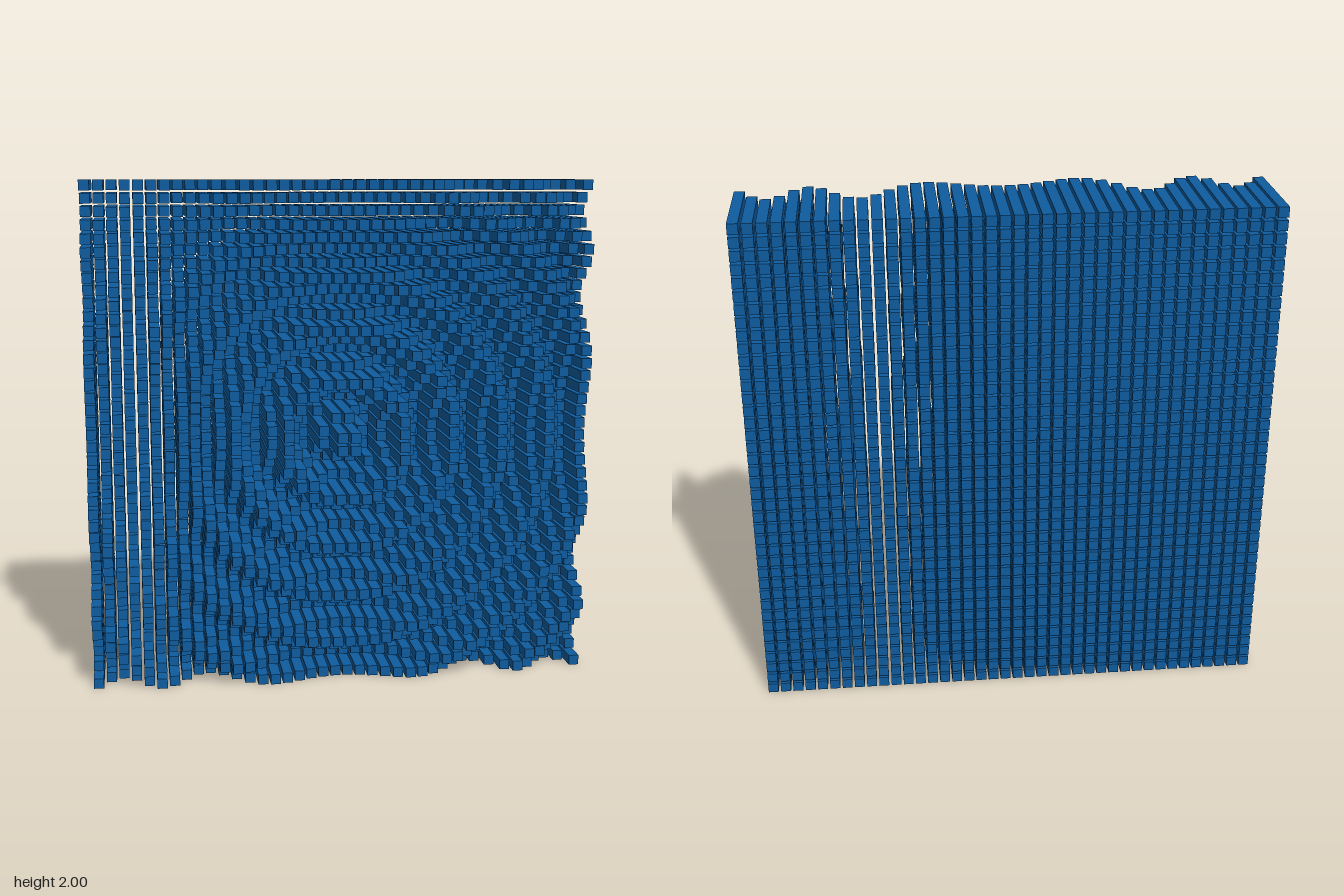
import * as THREE from 'three';
import { mergeGeometries } from 'three/addons/utils/BufferGeometryUtils.js';

const COUNT = 40;                    // bars along each side
const PITCH = 2 / (COUNT - 0.2);     // spacing of bar centres
const WIDTH = PITCH * 0.8;           // bar thickness
const BACK = -0.295;                 // common rear plane

// Front end of a bar: a ripple that fades away from the centre
function rippleFront(x, y) {
  const r = Math.hypot(x, y);
  return 0.047 + 0.25 * Math.exp(-r) * Math.cos((2 * Math.PI * (r - 0.04)) / 0.1965);
}

export function createModel() {
  const model = new THREE.Group();
  model.name = 'rippleWall';
  const material = new THREE.MeshStandardMaterial({ color: 0x0f5c9f });
  const offset = (i) => (i - (COUNT - 1) / 2) * PITCH;

  // One mesh per horizontal row of square bars
  for (let j = 0; j < COUNT; j++) {
    const y = offset(j);
    const bars = [];
    for (let i = 0; i < COUNT; i++) {
      const x = offset(i);
      const front = rippleFront(x, y);
      const bar = new THREE.BoxGeometry(WIDTH, WIDTH, front - BACK);
      bar.translate(x, y + 1, (front + BACK) / 2);
      bars.push(bar);
    }
    const row = new THREE.Mesh(mergeGeometries(bars), material);
    row.name = `barRow${j + 1}`;
    model.add(row);
  }
  return model;
}
